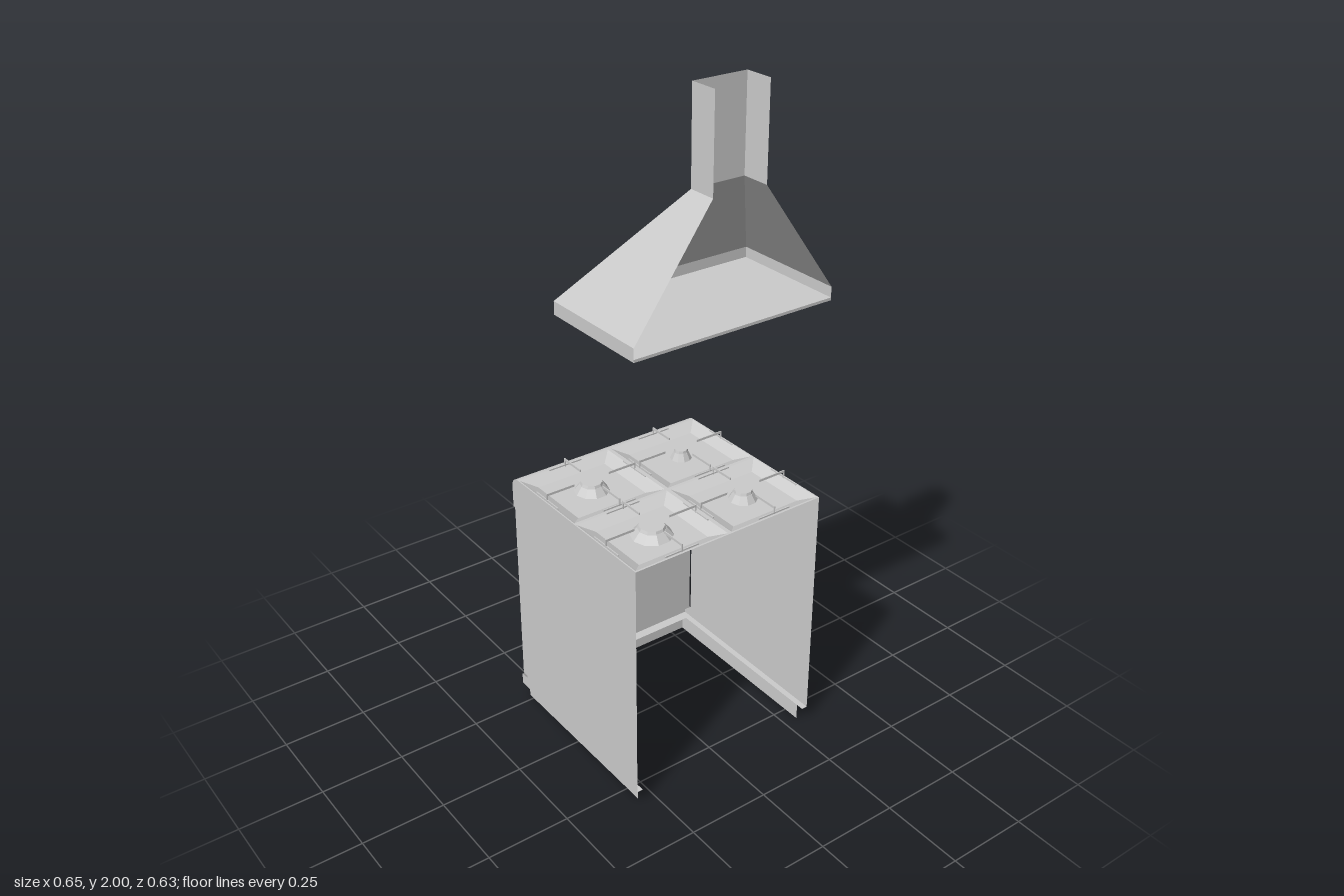
import * as THREE from 'three';

const mat = new THREE.MeshStandardMaterial({ color: 0xcccccc, side: THREE.DoubleSide });
const flat = new THREE.MeshStandardMaterial({ color: 0xcccccc, side: THREE.DoubleSide, flatShading: true });

export function createModel() {
  const root = new THREE.Group();
  const section = (name) => {
    const g = new THREE.Group();
    g.name = name;
    root.add(g);
    return g;
  };
  const add = (parent, name, geo, material = mat) => {
    const m = new THREE.Mesh(geo, material);
    m.name = name;
    parent.add(m);
    return m;
  };
  // Box given by its limits
  const box = (parent, name, x0, x1, y0, y1, z0, z1) =>
    add(parent, name, new THREE.BoxGeometry(x1 - x0, y1 - y0, z1 - z0)
      .translate((x0 + x1) / 2, (y0 + y1) / 2, (z0 + z1) / 2));
  // Flat convex panel from its corners
  const panel = (parent, name, pts) => {
    const geo = new THREE.BufferGeometry().setFromPoints(pts.map((p) => new THREE.Vector3(...p)));
    const index = [];
    for (let i = 1; i < pts.length - 1; i++) index.push(0, i, i + 1);
    geo.setIndex(index);
    geo.computeVertexNormals();
    return add(parent, name, geo);
  };
  // Rectangular outline as a shape or hole
  const rect = (Kind, x0, x1, y0, y1) =>
    new Kind([[x0, y0], [x1, y0], [x1, y1], [x0, y1]].map((p) => new THREE.Vector2(...p)));
  const rounded = (Kind, w, y0, y1, r) => {
    const s = new Kind();
    s.absarc(w - r, y0 + r, r, -Math.PI / 2, 0);
    s.absarc(w - r, y1 - r, r, 0, Math.PI / 2);
    s.absarc(-w + r, y1 - r, r, Math.PI / 2, Math.PI);
    s.absarc(-w + r, y0 + r, r, Math.PI, Math.PI * 1.5);
    s.closePath();
    return s;
  };
  // Upright plate lying in the zy plane, extruded toward -x
  const frontPlate = (parent, name, shape, x, depth) =>
    add(parent, name, new THREE.ExtrudeGeometry(shape, { depth, bevelEnabled: false, curveSegments: 5 })
      .rotateY(-Math.PI / 2).translate(x, 0, 0));

  const F = -0.28, B = 0.325, W = 0.313, T = 0.785;

  // Cabinet: side walls with a rounded top corner and a notch for the door
  const cabinet = section('cabinet');
  for (const s of [-1, 1]) {
    const side = new THREE.Shape();
    side.moveTo(B, 0.05);
    side.lineTo(B, T);
    side.lineTo(F + 0.03, T);
    side.absarc(F + 0.03, T - 0.03, 0.03, Math.PI / 2, Math.PI);
    for (const p of [[F, 0.685], [-0.25, 0.685], [-0.25, 0.085], [F, 0.085], [F, 0.05]]) side.lineTo(...p);
    add(cabinet, 'sideWall', new THREE.ShapeGeometry(side).translate(0, 0, s * W));
    panel(cabinet, 'plinthSide', [[-0.27, 0, s * 0.295], [0.302, 0, s * 0.295], [0.302, 0.05, s * 0.295], [-0.27, 0.05, s * 0.295]]);
    panel(cabinet, 'sideLedge', [[F, 0.05, s * W], [B, 0.05, s * W], [B, 0.05, s * 0.295], [F, 0.05, s * 0.295]]);
  }
  panel(cabinet, 'plinthFront', [[-0.27, 0, -0.295], [-0.27, 0, 0.295], [-0.27, 0.05, 0.295], [-0.27, 0.05, -0.295]]);
  panel(cabinet, 'frontLedge', [[F, 0.05, -W], [F, 0.05, W], [-0.25, 0.05, W], [-0.25, 0.05, -W]]);
  panel(cabinet, 'lowerStrip', [[F, 0.05, -W], [F, 0.05, W], [F, 0.083, W], [F, 0.083, -W]]);

  // Control panel: curved profile swept across the width
  const profile = [[F, 0.685]];
  for (let i = 0; i <= 8; i++) {
    const a = Math.PI - (i / 8) * Math.PI / 2;
    profile.push([F + 0.03 + 0.03 * Math.cos(a), T - 0.03 + 0.03 * Math.sin(a)]);
  }
  const strip = new THREE.PlaneGeometry(1, 1, profile.length - 1, 1);
  for (let i = 0; i < strip.attributes.position.count; i++) {
    const [x, y] = profile[i % profile.length];
    strip.attributes.position.setXYZ(i, x, y, i < profile.length ? -W : W);
  }
  strip.computeVertexNormals();
  add(cabinet, 'controlPanel', strip);

  // Knobs
  for (let i = -2; i <= 2; i++) {
    add(cabinet, 'knob', new THREE.CylinderGeometry(0.025, 0.027, 0.012, 20)
      .rotateZ(Math.PI / 2).translate(F - 0.004, 0.722, i * 0.134));
  }

  // Oven door with a recessed, framed window and a bent bar handle
  const door = section('ovenDoor');
  const leaf = rect(THREE.Shape, -0.308, 0.308, 0.087, 0.683);
  leaf.holes.push(rounded(THREE.Path, 0.235, 0.165, 0.615, 0.02));
  frontPlate(door, 'doorFront', leaf, -0.27, 0.01);
  box(door, 'doorPanel', -0.27, -0.25, 0.087, 0.683, -0.308, 0.308);
  const frame = rounded(THREE.Shape, 0.24, 0.16, 0.62, 0.024);
  frame.holes.push(rounded(THREE.Path, 0.228, 0.172, 0.608, 0.016));
  frontPlate(door, 'windowFrame', frame, -0.272, 0.01);
  const bar = new THREE.CurvePath();
  const v = (x, z) => new THREE.Vector3(x, 0.645, z);
  bar.add(new THREE.LineCurve3(v(F, -0.21), v(-0.29, -0.21)));
  bar.add(new THREE.QuadraticBezierCurve3(v(-0.29, -0.21), v(-0.32, -0.21), v(-0.32, -0.175)));
  bar.add(new THREE.LineCurve3(v(-0.32, -0.175), v(-0.32, 0.175)));
  bar.add(new THREE.QuadraticBezierCurve3(v(-0.32, 0.175), v(-0.32, 0.21), v(-0.29, 0.21)));
  bar.add(new THREE.LineCurve3(v(-0.29, 0.21), v(F, 0.21)));
  add(door, 'handle', new THREE.TubeGeometry(bar, 64, 0.0085, 10));

  // Hob: top sheet with four sunken trays, each with a burner and a pan support
  const hob = section('hob');
  const sheet = rect(THREE.Shape, F + 0.03, B, -W, W);
  const xs = [[-0.245, 0.035], [0.045, 0.319]], zs = [[-0.309, -0.006], [0.006, 0.309]];
  for (const [x0, x1] of xs) for (const [z0, z1] of zs) {
    sheet.holes.push(rect(THREE.Path, x0, x1, -z1, -z0));
    const ring = (d, y) => [[x0 + d, y, z0 + d], [x1 - d, y, z0 + d], [x1 - d, y, z1 - d], [x0 + d, y, z1 - d]];
    const levels = [ring(0, T), ring(0.006, T - 0.003), ring(0.038, 0.768)];
    for (let k = 0; k < 2; k++) for (let i = 0; i < 4; i++) {
      const j = (i + 1) % 4;
      panel(hob, 'traySlope', [levels[k][i], levels[k + 1][i], levels[k + 1][j], levels[k][j]]);
    }
    panel(hob, 'trayFloor', levels[2].slice().reverse());

    // Burner: faceted cone base and domed cap
    const cx = (x0 + x1) / 2, cz = (z0 + z1) / 2;
    const r = z0 < 0 ? (x0 < 0 ? 0.032 : 0.042) : (x0 < 0 ? 0.051 : 0.06);
    add(hob, 'burnerBase', new THREE.CylinderGeometry(r * 0.68, r, 0.022, 10).translate(cx, 0.779, cz), flat);
    add(hob, 'burnerCap', new THREE.CylinderGeometry(r * 0.6, r * 0.66, 0.008, 10).translate(cx, 0.794, cz), flat);

    // Pan support: four prongs with outer feet and short edge rails
    for (let i = 0; i < 4; i++) {
      const alongX = i % 2 === 0;
      const half = (alongX ? x1 - x0 : z1 - z0) / 2 - 0.001;
      const inner = alongX ? 0.056 : 0.058;
      const arm = new THREE.Group();
      arm.name = 'panSupportArm';
      box(arm, 'prong', inner, half, 0.801, 0.808, -0.0015, 0.0015);
      box(arm, 'foot', half - 0.004, half, T - 0.004, 0.808, -0.0015, 0.0015);
      box(arm, 'rail', half - 0.004, half - 0.001, T, T + 0.004, -0.055, 0.055);
      arm.position.set(cx, 0, cz);
      arm.rotation.y = i * Math.PI / 2;
      hob.add(arm);
    }
  }
  add(hob, 'topSheet', new THREE.ShapeGeometry(sheet).rotateX(-Math.PI / 2).translate(0, T, 0));

  // Extractor hood: rim, sloped canopy and chimney, all open toward the wall
  const hood = section('extractorHood');
  const steps = [[-0.022, W, 1.38], [-0.022, W, 1.418], [0.24, 0.082, 1.74], [0.24, 0.082, 2]];
  ['hoodRim', 'canopy', 'chimney'].forEach((name, k) => {
    const [xa, wa, ya] = steps[k], [xb, wb, yb] = steps[k + 1];
    panel(hood, name + 'Front', [[xa, ya, -wa], [xa, ya, wa], [xb, yb, wb], [xb, yb, -wb]]);
    panel(hood, name + 'Left', [[xa, ya, wa], [B, ya, wa], [B, yb, wb], [xb, yb, wb]]);
    panel(hood, name + 'Right', [[B, ya, -wa], [xa, ya, -wa], [xb, yb, -wb], [B, yb, -wb]]);
  });

  // Underside: border around a slightly raised filter
  const border = rect(THREE.Shape, -0.022, B, -W, W);
  border.holes.push(rect(THREE.Path, -0.007, B - 0.015, -W + 0.015, W - 0.015));
  add(hood, 'undersideBorder', new THREE.ExtrudeGeometry(border, { depth: 0.008, bevelEnabled: false })
    .rotateX(-Math.PI / 2).translate(0, 1.38, 0));
  panel(hood, 'filter', [[-0.015, 1.388, -0.305], [B - 0.008, 1.388, -0.305], [B - 0.008, 1.388, 0.305], [-0.015, 1.388, 0.305]]);

  // Hood buttons
  for (const z of [-0.026, 0, 0.026]) box(hood, 'button', -0.033, -0.02, 1.39, 1.404, z - 0.009, z + 0.009);

  return root;
}
